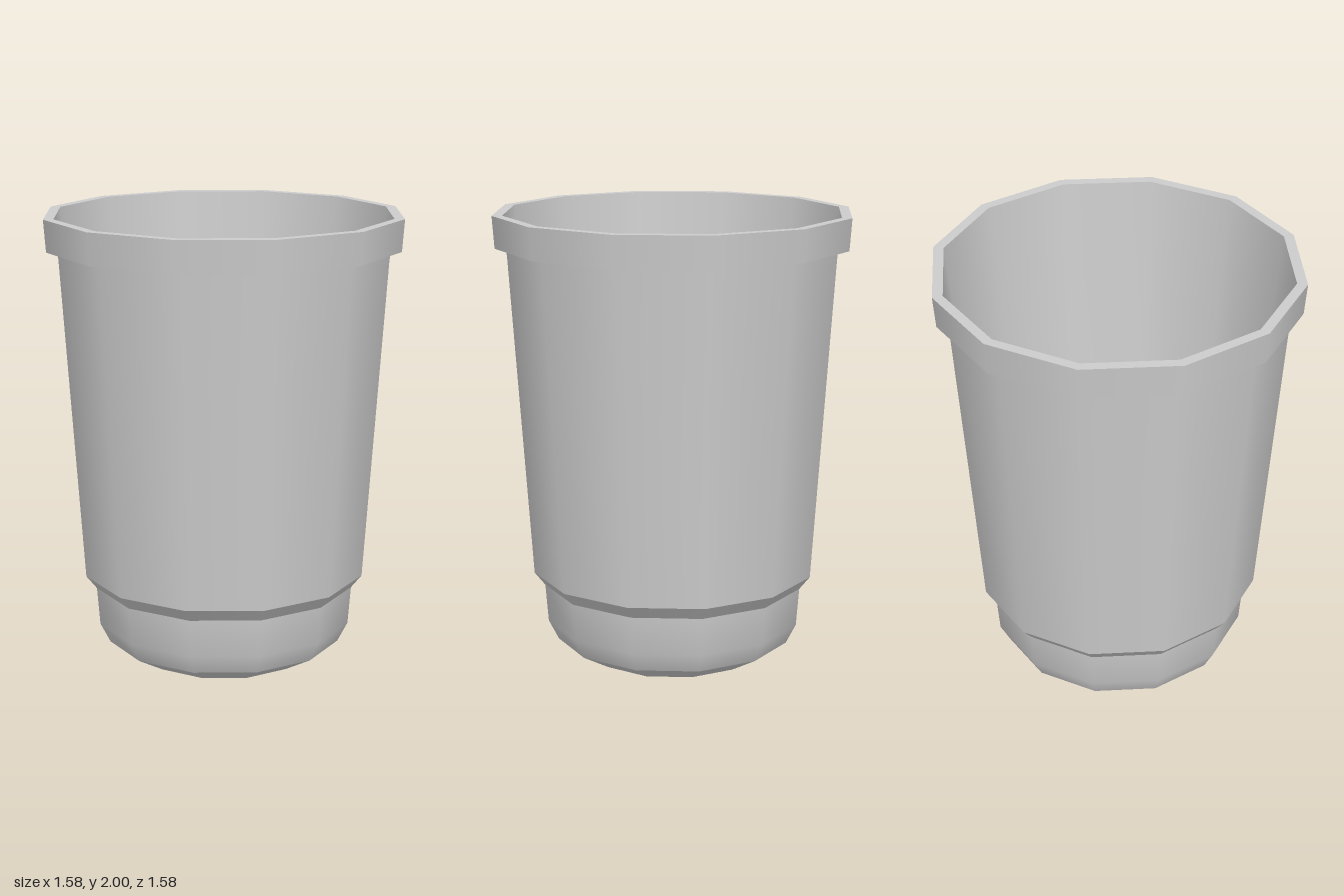
import * as THREE from 'three';

const SIDES = 12;

export function createModel() {
  const model = new THREE.Group();
  const material = new THREE.MeshStandardMaterial({ color: 0xcccccc });

  // Each lathe is one smooth band, so edges between bands stay sharp.
  // Profiles running upwards face out, downwards face in.
  function band(name, parent, profile) {
    const points = profile.map(([r, y]) => new THREE.Vector2(r, y));
    const mesh = new THREE.Mesh(new THREE.LatheGeometry(points, SIDES), material);
    mesh.name = name;
    parent.add(mesh);
  }

  // Cup shell, from the base up and over the rim to the inside floor
  const cup = new THREE.Group();
  cup.name = 'cup';
  model.add(cup);
  band('baseDisc', cup, [[0, 0], [0.39, 0]]);
  band('baseBevel', cup, [[0.39, 0], [0.53, 0.08]]);
  band('lowerBody', cup, [[0.53, 0.08], [0.575, 0.17], [0.588, 0.34]]);
  band('step', cup, [[0.588, 0.34], [0.635, 0.4]]);
  band('wall', cup, [[0.635, 0.4], [0.73, 1.86]]);
  band('rimUnderside', cup, [[0.73, 1.86], [0.78, 1.86]]);
  band('rimSide', cup, [[0.78, 1.86], [0.79, 2]]);
  band('rimTop', cup, [[0.79, 2], [0.745, 2]]);
  band('innerWall', cup, [[0.745, 2], [0.59, 0.42], [0.55, 0.2], [0.5, 0.12]]);
  band('innerFloor', cup, [[0.5, 0.12], [0, 0.12]]);

  // Balls piled at the bottom of the cup: lower layer, upper layer, one on top
  const balls = new THREE.Group();
  balls.name = 'balls';
  model.add(balls);
  const ballGeometry = new THREE.SphereGeometry(0.183, 12, 8);
  const layers = [
    [0.3, [[-0.21, -0.25], [0.18, -0.26], [0.3, 0.11], [0.02, 0.32], [-0.3, 0.12]]],
    [0.53, [[-0.07, -0.31], [-0.32, -0.03], [0.27, -0.09], [0.22, 0.22], [-0.145, 0.28]]],
    [0.7, [[0.035, 0.03]]],
  ];
  for (const [y, spots] of layers) {
    for (const [x, z] of spots) {
      const ball = new THREE.Mesh(ballGeometry, material);
      ball.name = 'ball';
      ball.position.set(x, y, z);
      ball.rotation.x = -1.2;
      balls.add(ball);
    }
  }
  return model;
}
